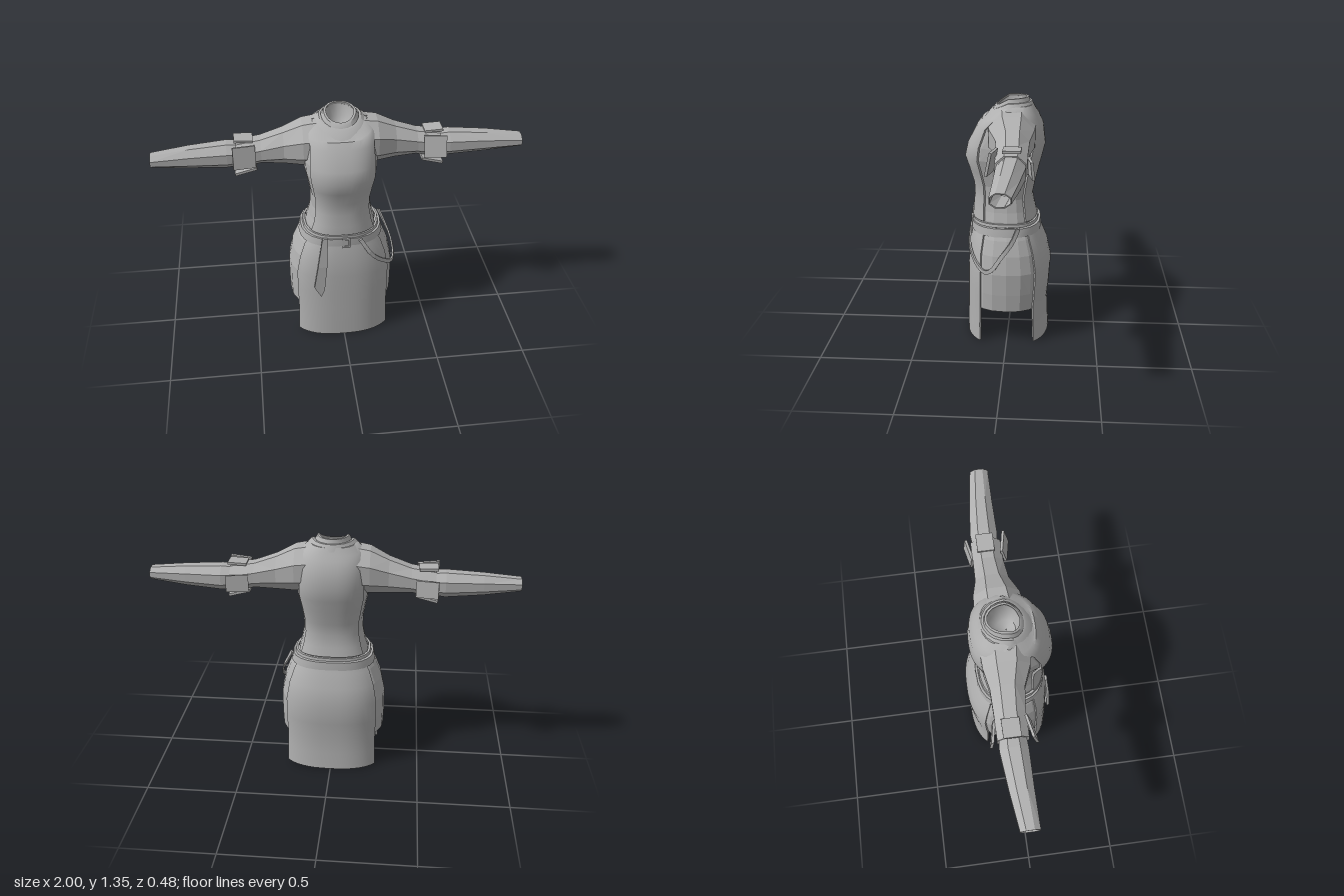
import * as THREE from 'three';
import { toCreasedNormals } from 'three/addons/utils/BufferGeometryUtils.js';

const cloth = new THREE.MeshStandardMaterial({ color: 0xb0b0b0, side: THREE.DoubleSide });
cloth.name = 'grey cloth';
const V = (x, y, z) => new THREE.Vector3(x, y, z);
const DEG = Math.PI / 180;

function mesh(name, geo) {
  const m = new THREE.Mesh(geo, cloth);
  m.name = name;
  return m;
}

// Skin a series of closed loops; fold closes the ends of a two-sided panel
function loft(loops, { fold = false, crease = 0 } = {}) {
  const n = loops[0].length, pos = [], idx = [];
  loops.forEach(l => l.forEach(p => pos.push(p.x, p.y, p.z)));
  const quad = (a, b, c, d) => idx.push(a, b, c, a, c, d);
  for (let j = 0; j < loops.length - 1; j++)
    for (let i = 0; i < n; i++) {
      const k = (i + 1) % n;
      quad(j * n + i, j * n + k, (j + 1) * n + k, (j + 1) * n + i);
    }
  if (fold)
    for (let i = 0; i < n / 2 - 1; i++) {
      const o = (loops.length - 1) * n;
      quad(i, n - 1 - i, n - 2 - i, i + 1);
      quad(o + i, o + i + 1, o + n - 2 - i, o + n - 1 - i);
    }
  let g = new THREE.BufferGeometry();
  g.setAttribute('position', new THREE.Float32BufferAttribute(pos, 3));
  g.setIndex(idx);
  if (crease) return toCreasedNormals(g, crease);
  g = g.toNonIndexed();
  g.computeVertexNormals();
  return g;
}

// Point on a rounded body ring: [y, half width, front z, back z, half arc, front tilt, back tilt]
function ringPoint([y, w, zf, zb, , tf = 0, tb = 0], a, off, n) {
  const s = Math.sin(a), c = Math.cos(a), e = 2 / n;
  const x = (w - off) * Math.sign(s) * Math.abs(s) ** e;
  const z = (c > 0 ? zf - off : zb - off) * Math.sign(c) * Math.abs(c) ** e;
  return V(x, y - (z > 0 ? tf : tb) * z, z);
}

// Thick curved panel running up the rings
function shell(name, rings, { mid = 0, half = 0, segs = 16, th = 0.012, off = 0, n = 2.5, crease = 0.7 } = {}) {
  const loops = rings.map(r => {
    const h = (half || r[4]) * DEG, outer = [], inner = [];
    for (let i = 0; i <= segs; i++) {
      const a = mid * DEG - h + (2 * h * i) / segs;
      outer.push(ringPoint(r, a, off, n));
      inner.unshift(ringPoint(r, a, off + th, n));
    }
    return [...outer, ...inner];
  });
  return mesh(name, loft(loops, { fold: true, crease }));
}

// Tube along x from sections [x, y, ry, z, rz]
function sleeve(name, sections, sides = 8) {
  return mesh(name, loft(sections.map(([x, y, ry, z, rz]) =>
    Array.from({ length: sides }, (_, i) => {
      const a = ((i + 0.5) / sides) * 2 * Math.PI, k = 1 / Math.cos(Math.PI / sides);
      return V(x, y + ry * k * Math.cos(a), z + rz * k * Math.sin(a));
    }))));
}

// Flat strap following a path around the hips
function strap(name, points, width, thick) {
  const curve = new THREE.CatmullRomCurve3(points);
  const loops = [];
  for (let i = 0; i <= 18; i++) {
    const p = curve.getPoint(i / 18), t = curve.getTangent(i / 18);
    const nrm = V(p.x / 0.09, 0, p.z / 0.05).normalize();
    const b = t.clone().cross(nrm).normalize();
    loops.push([[-1, 0], [1, 0], [1, 1], [-1, 1]].map(([u, v]) =>
      p.clone().addScaledVector(b, (u * width) / 2).addScaledVector(nrm, v * thick)));
  }
  return mesh(name, loft(loops, { fold: true }));
}

function extrude(points, depth, hole) {
  const shape = new THREE.Shape(points.map(p => new THREE.Vector2(...p)));
  if (hole) shape.holes.push(new THREE.Path(hole.map(p => new THREE.Vector2(...p))));
  return new THREE.ExtrudeGeometry(shape, { depth, bevelEnabled: false });
}

function createArm() {
  const arm = new THREE.Group();
  arm.add(sleeve('upperSleeve', [
    [0.1, 1.175, 0.125, -0.02, 0.13], [0.2, 1.165, 0.118, -0.025, 0.12],
    [0.3, 1.143, 0.092, -0.035, 0.088], [0.42, 1.125, 0.068, -0.04, 0.08],
    [0.55, 1.103, 0.07, -0.04, 0.08], [0.55, 1.103, 0.058, -0.04, 0.068],
    [0.46, 1.11, 0.055, -0.04, 0.065]]));
  // forearm turns inward at the wrist to leave it hollow
  arm.add(sleeve('forearmSleeve', [
    [0.48, 1.108, 0.055, -0.042, 0.062], [0.6, 1.105, 0.068, -0.043, 0.073],
    [0.8, 1.105, 0.055, -0.034, 0.062], [1, 1.105, 0.034, -0.02, 0.05],
    [1, 1.105, 0.029, -0.02, 0.045], [0.8, 1.105, 0.045, -0.034, 0.05]]));
  // flared cuff flaps around the elbow
  const flaps = [
    ['Top', [0.1, 0.013, 0.09], [0.51, 1.192, -0.045], [0, 0, 0.05]],
    ['Front', [0.12, 0.12, 0.014], [0.51, 1.13, 0.058], [-0.2, -0.2, 0]],
    ['Back', [0.12, 0.09, 0.014], [0.505, 1.1, -0.136], [0.1, 0.2, 0]],
    ['Bottom', [0.12, 0.014, 0.12], [0.505, 1.026, -0.03], [0, 0, -0.25]]];
  for (const [side, size, at, rot] of flaps) {
    const f = mesh('cuffFlap' + side, new THREE.BoxGeometry(...size));
    f.position.set(...at);
    f.rotation.set(...rot);
    arm.add(f);
  }
  return arm;
}

export function createModel() {
  const model = new THREE.Group();
  model.name = 'outfit';

  // Bodice with an outer front and back panel
  const torso = [
    [0.69, 0.205, 0.2, 0.157, 54], [0.74, 0.19, 0.197, 0.145, 53], [0.81, 0.177, 0.19, 0.132, 52],
    [0.88, 0.177, 0.193, 0.146, 52], [0.96, 0.192, 0.217, 0.165, 52], [1.03, 0.207, 0.24, 0.183, 52],
    [1.1, 0.212, 0.224, 0.2, 51], [1.2, 0.205, 0.172, 0.188, 51], [1.25, 0.19, 0.145, 0.165, 62, 0.1],
    [1.282, 0.172, 0.132, 0.15, 80, 0.35, -0.05], [1.312, 0.125, 0.108, 0.13, 90, 0.5, 0]];
  model.add(shell('bodice', [[0.63, 0.212, 0.19, 0.16], ...torso], { half: 180, segs: 20, off: 0.012, crease: 0 }));
  model.add(shell('frontPanel', torso));
  model.add(shell('backPanel', torso, { mid: 180 }));

  // Collar and hollow neck
  model.add(shell('collarBand', [[1.292, 0.147, 0.145, 0.142, 0, 0.5], [1.328, 0.112, 0.1, 0.125, 0, 0.5]],
    { half: 180, segs: 20, n: 2 }));
  model.add(shell('neckBand', [[1.3, 0.115, 0.105, 0.125, 0, 0.5], [1.325, 0.095, 0.09, 0.115, 0, 0.55],
    [1.347, 0.085, 0.078, 0.108, 0, 0.6, 0.03]], { half: 180, segs: 20, n: 2 }));
  model.add(shell('neckLining', [[1.335, 0.082, 0.075, 0.104, 0, 0.6], [1.27, 0.078, 0.072, 0.095],
    [1.22, 0.05, 0.05, 0.06], [1.2, 0.006, 0.006, 0.006]], { half: 180, segs: 20, n: 2, th: 0.004 }));

  // Skirt: long front and back panels over shorter sides
  const skirt = [
    [0.655, 0.215, 0.195, 0.165], [0.6, 0.25, 0.206, 0.185], [0.52, 0.282, 0.222, 0.218],
    [0.42, 0.303, 0.227, 0.24], [0.3, 0.304, 0.23, 0.232], [0.2, 0.3, 0.232, 0.222]];
  const long = [...skirt, [0.1, 0.301, 0.235, 0.226], [0, 0.304, 0.236, 0.232]];
  model.add(shell('skirtFront', long, { half: 55 }));
  model.add(shell('skirtBack', long, { mid: 180, half: 53 }));
  for (const s of [1, -1])
    model.add(shell('skirtSide', skirt, { mid: 90 * s, half: 46, segs: 6, off: 0.008, crease: 0 }));

  // Belts
  model.add(shell('belt', [[0.62, 0.236, 0.207, 0.182], [0.665, 0.226, 0.206, 0.178]],
    { half: 180, segs: 24, th: 0.018, crease: 0.5 }));
  model.add(shell('waistCord', [[0.668, 0.214, 0.203, 0.166], [0.684, 0.21, 0.202, 0.164]],
    { half: 180, segs: 24, crease: 0.5 }));
  const buckle = mesh('buckle', extrude([[-0.01, 0.61], [0.035, 0.61], [0.035, 0.672], [-0.01, 0.672]], 0.012,
    [[0, 0.622], [0, 0.66], [0.025, 0.66], [0.025, 0.622]]));
  buckle.position.z = 0.2;
  model.add(buckle);

  // Belt tail hanging over the skirt, leaning out with it
  const tail = extrude([[-0.12, 0.68], [-0.09, 0.68], [-0.097, 0.5], [-0.112, 0.34], [-0.132, 0.29],
    [-0.17, 0.36], [-0.148, 0.5]], 0.014);
  const p = tail.attributes.position;
  for (let i = 0; i < p.count; i++)
    p.setZ(i, p.getZ(i) + 0.202 + Math.min(0.68 - p.getY(i), 0.2) * 0.09);
  tail.computeVertexNormals();
  model.add(mesh('beltTail', tail));

  // Looped strap on the left hip
  model.add(strap('hipStrap', [V(0.09, 0.655, 0.2), V(0.155, 0.55, 0.205), V(0.228, 0.475, 0.168),
    V(0.28, 0.437, 0.118), V(0.296, 0.45, 0.08), V(0.288, 0.52, 0.03), V(0.256, 0.6, -0.03),
    V(0.225, 0.67, -0.06)], 0.022, 0.01));

  const left = createArm(), right = createArm();
  left.name = 'leftArm';
  right.name = 'rightArm';
  right.scale.x = -1;
  model.add(left, right);
  return model;
}
